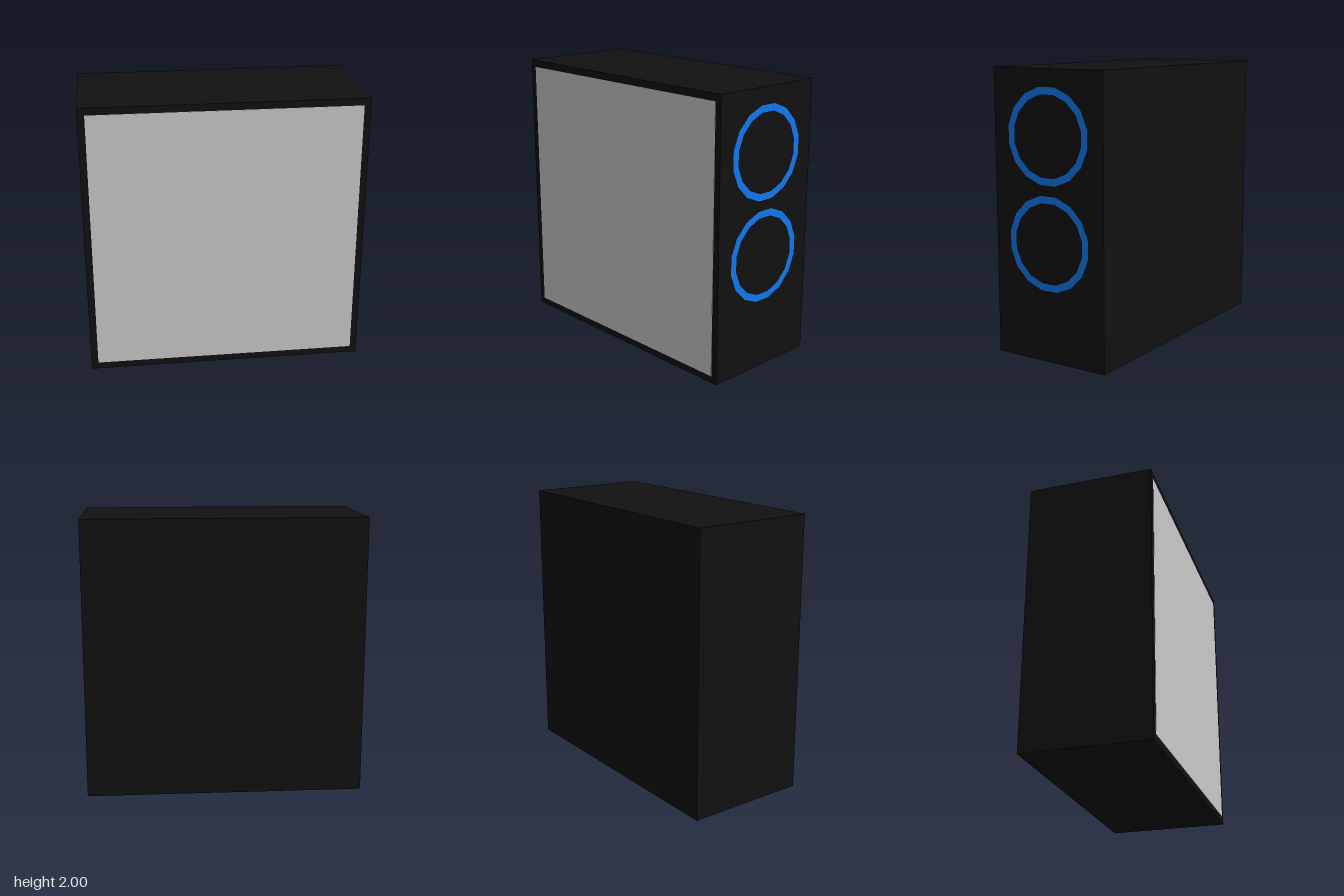
import * as THREE from 'three';

export function createModel() {
  const model = new THREE.Group();
  const black = new THREE.MeshStandardMaterial({ color: 0x111111 });
  const grey = new THREE.MeshStandardMaterial({ color: 0xcccccc });
  const blue = new THREE.MeshStandardMaterial({ color: 0x1177ee });

  const add = (name, geometry, material, x, y, z) => {
    const mesh = new THREE.Mesh(geometry, material);
    mesh.name = name;
    mesh.position.set(x, y, z);
    model.add(mesh);
    return mesh;
  };

  // Closed cabinet
  add('case', new THREE.BoxGeometry(1.998, 2, 0.898), black, -0.001, 1, -0.001);

  // Front panel, nearly flush, leaving a narrow black border
  add('frontPanel', new THREE.BoxGeometry(1.9, 1.9, 0.02), grey, 0, 1, 0.44);

  // Two flat sixteen-sided rings on the +x side, flat edge upwards
  const ring = new THREE.RingGeometry(0.282, 0.332, 16, 1, Math.PI / 16);
  ring.rotateY(Math.PI / 2);
  [['upperRing', 1.553], ['lowerRing', 0.828]].forEach(([name, y]) => {
    add(name, ring, blue, 1, y, 0);
  });

  return model;
}
